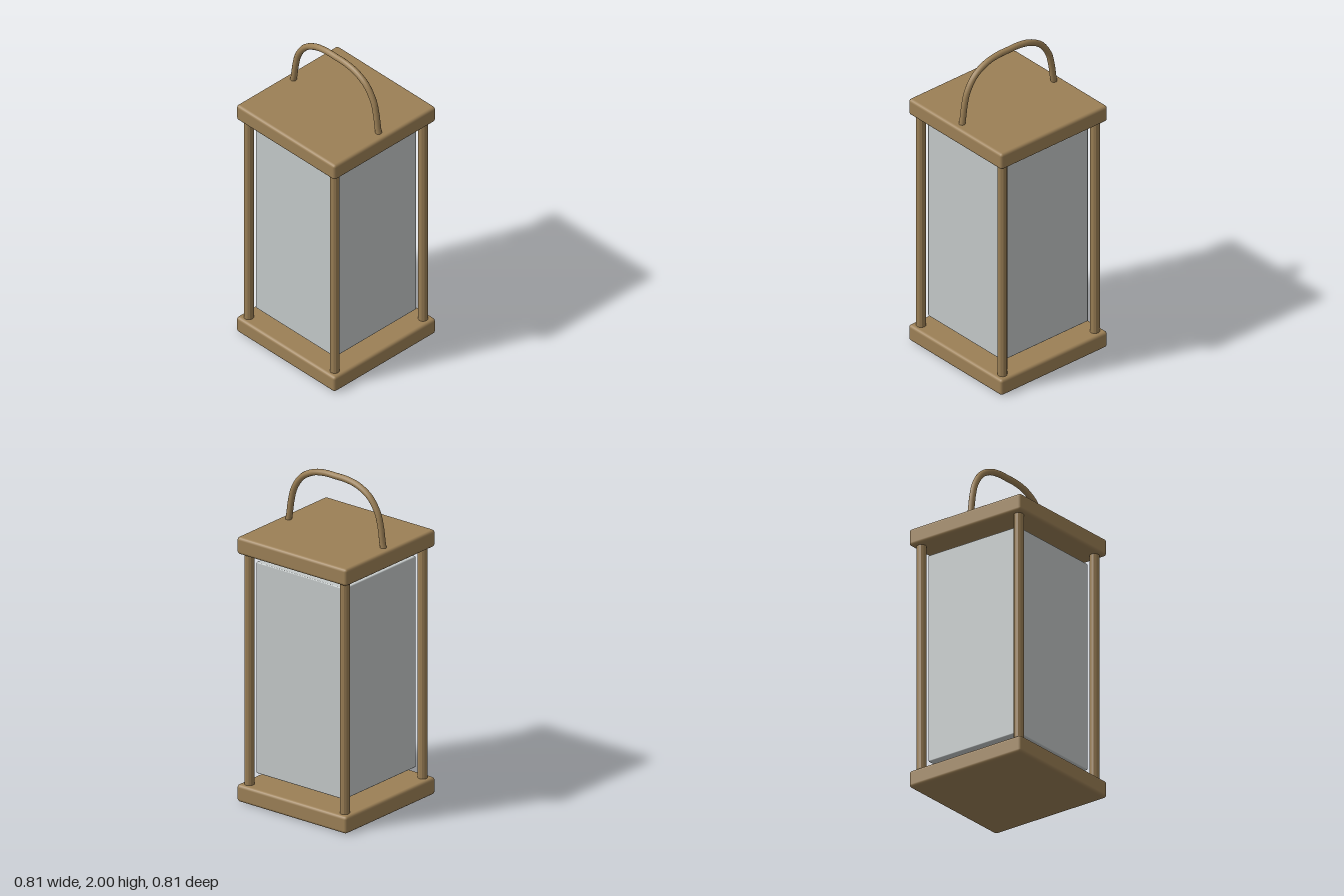
import * as THREE from 'three';
import { RoundedBoxGeometry } from 'three/addons/geometries/RoundedBoxGeometry.js';

export function createModel() {
  const model = new THREE.Group();
  model.name = 'lantern';

  const wood = new THREE.MeshStandardMaterial({ color: 0x9c8056 });
  wood.name = 'brown wood';
  const glass = new THREE.MeshStandardMaterial({ color: 0xc4c9c9 });
  glass.name = 'pale grey glass';
  const wax = new THREE.MeshStandardMaterial({ color: 0xc2c8cc });
  wax.name = 'grey wax';
  // faceted cylinders carry flat normals in the geometry
  const facetedCylinder = (radius, height, sides) => {
    const g = new THREE.CylinderGeometry(radius, radius, height, sides).toNonIndexed();
    g.computeVertexNormals();
    return g;
  };

  const add = (name, geometry, material, x, y, z) => {
    const mesh = new THREE.Mesh(geometry, material);
    mesh.name = name;
    mesh.position.set(x, y, z);
    model.add(mesh);
    return mesh;
  };

  // base and lid: matching slabs with softened edges
  const slab = new RoundedBoxGeometry(0.81, 0.105, 0.81, 2, 0.018);
  add('base', slab, wood, 0, 0.0525, 0);
  add('lid', slab, wood, 0, 1.577, 0);

  // four corner posts
  const post = facetedCylinder(0.029, 1.46, 12);
  for (const x of [-1, 1]) {
    for (const z of [-1, 1]) add('cornerPost', post, wood, x * 0.352, 0.82, z * 0.352);
  }

  // glass body, raised above the base on the candle foot
  add('glassBody', new RoundedBoxGeometry(0.65, 1.3, 0.65, 1, 0.006), glass, 0, 0.82, 0);
  add('candle', facetedCylinder(0.092, 0.5, 12), wax, 0, 0.34, 0);

  // arched carrying handle, mirrored left to right
  const half = [[0.356, 1.6], [0.345, 1.65], [0.33, 1.75], [0.308, 1.83], [0.25, 1.914], [0.165, 1.963], [0.08, 1.98]];
  const points = [
    ...half.map(([x, y]) => new THREE.Vector3(-x, y, 0)),
    new THREE.Vector3(0, 1.981, 0),
    ...half.slice().reverse().map(([x, y]) => new THREE.Vector3(x, y, 0)),
  ];
  const path = new THREE.CatmullRomCurve3(points);
  add('handle', new THREE.TubeGeometry(path, 60, 0.019, 12), wood, 0, 0, 0);

  return model;
}
